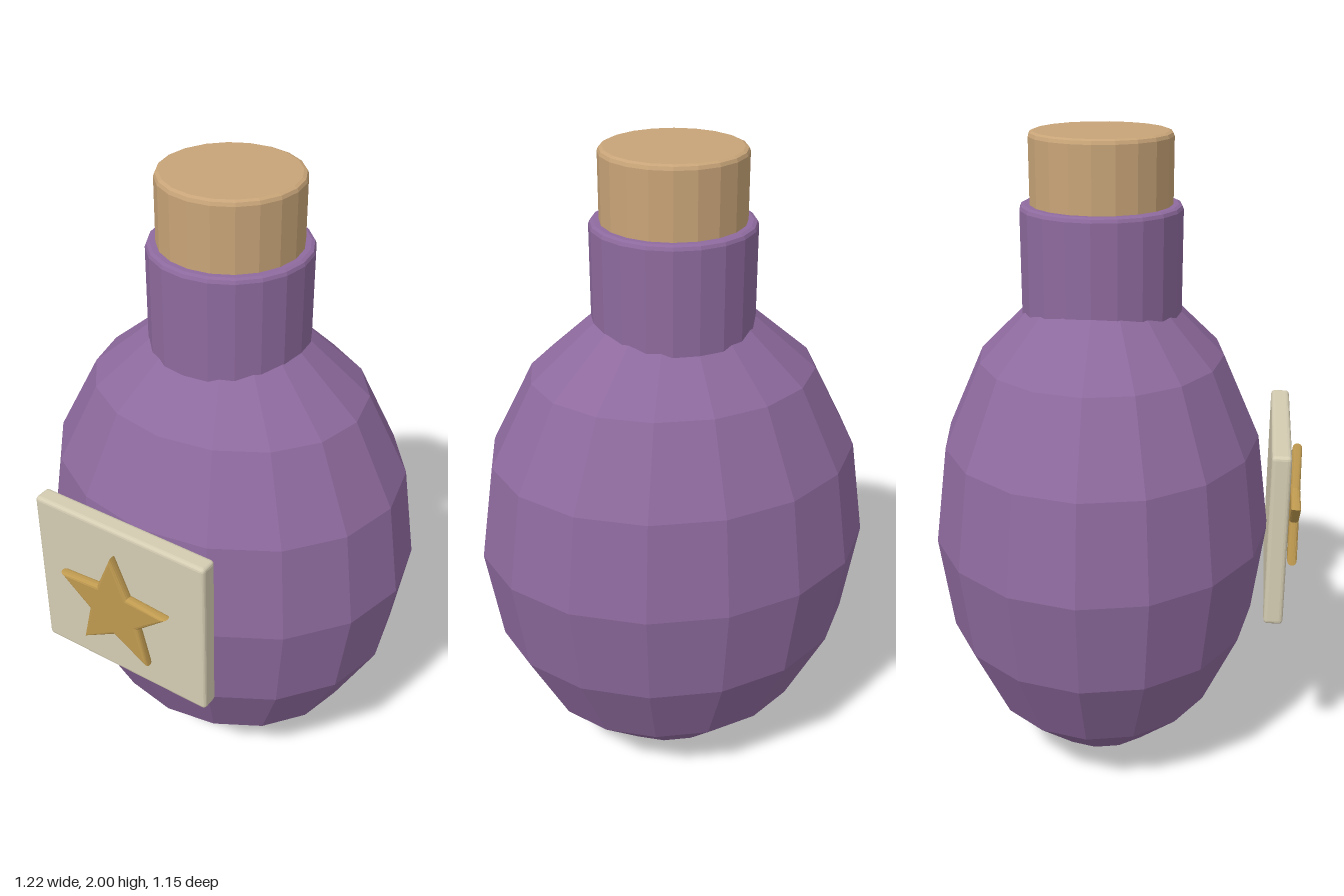
import * as THREE from 'three';
import { RoundedBoxGeometry } from 'three/addons/geometries/RoundedBoxGeometry.js';

const AXIS_Z = -0.05; // the bottle's axis sits slightly behind the centre

function part(name, geometry, color, x, y, z) {
  const material = new THREE.MeshStandardMaterial({ color, flatShading: true });
  const mesh = new THREE.Mesh(geometry, material);
  mesh.name = name;
  mesh.position.set(x, y, z);
  return mesh;
}

// Upright 20-sided cylinder with bevelled rims, from y0 to y1
function bevelledCylinder(radius, y0, y1, bevel) {
  const profile = [
    [0, y0], [radius - bevel, y0], [radius, y0 + bevel],
    [radius, y1 - bevel], [radius - bevel * 0.3, y1 - bevel * 0.3],
    [radius - bevel, y1], [0, y1],
  ].map(([r, y]) => new THREE.Vector2(r, y));
  return new THREE.LatheGeometry(profile, 20);
}

// Five-pointed star with rounded edges, centred on its own depth
function starGeometry(outer, inner) {
  const points = [];
  for (let i = 0; i < 10; i++) {
    const r = i % 2 ? inner : outer;
    const a = Math.PI / 2 + (i * Math.PI) / 5;
    points.push(new THREE.Vector2(r * Math.cos(a), r * Math.sin(a)));
  }
  const geometry = new THREE.ExtrudeGeometry(new THREE.Shape(points), {
    depth: 0.008,
    bevelThickness: 0.011,
    bevelSize: 0.012,
    bevelOffset: -0.012,
    bevelSegments: 3,
  });
  return geometry.translate(0, 0, -0.004);
}

export function createModel() {
  const model = new THREE.Group();
  model.name = 'bottle';
  const purple = 0x8e6a9e;

  // Faceted egg-like body, flattened front to back
  const body = new THREE.SphereGeometry(1, 16, 8).scale(0.61, 0.788, 0.525);
  model.add(part('body', body, purple, 0, 0.788, AXIS_Z));

  // Neck and cork
  model.add(part('neck', bevelledCylinder(0.24, 1.4, 1.795, 0.014), purple, 0, 0, AXIS_Z));
  model.add(part('cork', bevelledCylinder(0.21, 1.7, 2, 0.014), 0xc8a478, 0, 0, AXIS_Z));

  // Square label with a floating star in front
  const label = new RoundedBoxGeometry(0.592, 0.545, 0.058, 2, 0.012);
  model.add(part('label', label, 0xd4ccb2, 0, 0.868, 0.502));
  model.add(part('star', starGeometry(0.2, 0.092), 0xbf9a50, 0, 0.868, 0.556));

  return model;
}
